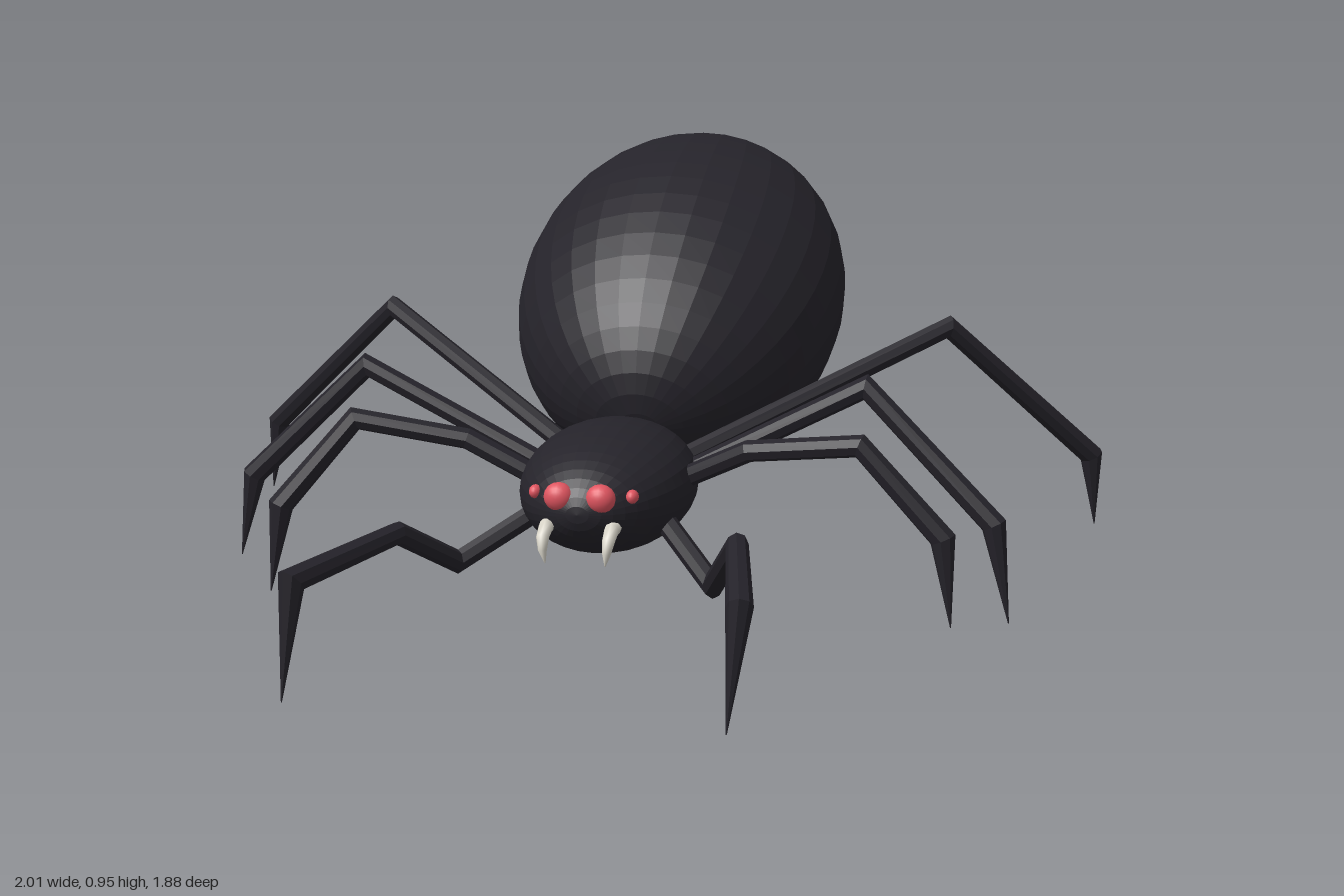
import * as THREE from 'three';

const mat = (color, flatShading = false) =>
  new THREE.MeshStandardMaterial({ color, flatShading });
const SHELL = mat(0x25232a, true);
const EYE = mat(0xe05560);
const FANG = mat(0xdcd8cc);

const MID = 0.022; // the body sits slightly off the centre line

function ellipsoid(name, material, position, radii, tilt = 0, segments = 32) {
  const geo = new THREE.SphereGeometry(1, segments, Math.round(segments * 0.75));
  geo.rotateX(Math.PI / 2); // poles on the long axis
  geo.scale(...radii);
  const mesh = new THREE.Mesh(geo, material);
  mesh.name = name;
  mesh.position.set(...position);
  mesh.rotation.x = tilt;
  return mesh;
}

// Tapered limb along a bent path, with mitred rings at the bends
function limb(name, material, path, radii, sides = 8) {
  const pts = path.map(p => new THREE.Vector3(...p));
  const dirs = pts.slice(1).map((p, i) => p.clone().sub(pts[i]).normalize());
  const d0 = dirs[0];
  const ref = Math.abs(d0.y) < 0.9 ? new THREE.Vector3(0, 1, 0) : new THREE.Vector3(1, 0, 0);
  const u = ref.cross(d0).normalize();
  const v = d0.clone().cross(u);
  let ring = [];
  for (let j = 0; j < sides; j++) {
    const a = (j / sides) * Math.PI * 2;
    ring.push(u.clone().multiplyScalar(Math.cos(a)).addScaledVector(v, Math.sin(a)));
  }
  const pos = [];
  const index = [];
  pts.forEach((p, i) => {
    if (i > 0 && i < dirs.length) {
      // slide the ring along the incoming segment onto the bisecting plane
      const n = dirs[i - 1].clone().add(dirs[i]).normalize();
      const k = n.dot(dirs[i - 1]);
      ring = ring.map(o => o.clone().addScaledVector(dirs[i - 1], -o.dot(n) / k));
    }
    ring.forEach(o => pos.push(...p.clone().addScaledVector(o, radii[i]).toArray()));
    if (i === 0) return;
    for (let j = 0; j < sides; j++) {
      const a = (i - 1) * sides + j;
      const b = (i - 1) * sides + ((j + 1) % sides);
      index.push(a, b, b + sides, a, b + sides, a + sides);
    }
  });
  const geo = new THREE.BufferGeometry();
  geo.setAttribute('position', new THREE.Float32BufferAttribute(pos, 3));
  geo.setIndex(index);
  geo.computeVertexNormals();
  const mesh = new THREE.Mesh(geo, material);
  mesh.name = name;
  return mesh;
}

// Each leg: hip, joints, ankle, claw tip
const LEGS = {
  leftRearLeg: [[0.11, 0.3, 0.15], [0.67, 0.565, -0.185], [0.985, 0.245, -0.405], [0.998, 0.08, -0.42]],
  rightRearLeg: [[-0.07, 0.3, 0.14], [-0.615, 0.565, -0.19], [-0.975, 0.245, -0.34], [-1, 0.075, -0.35]],
  leftThirdLeg: [[0.12, 0.28, 0.215], [0.54, 0.505, 0.24], [0.805, 0.245, 0.28], [0.84, 0.045, 0.285]],
  rightThirdLeg: [[-0.08, 0.28, 0.225], [-0.525, 0.505, 0.235], [-0.795, 0.25, 0.227], [-0.827, 0.07, 0.235]],
  leftSecondLeg: [[0.12, 0.28, 0.27], [0.32, 0.385, 0.345], [0.55, 0.42, 0.405], [0.715, 0.245, 0.412], [0.735, 0.07, 0.42]],
  rightSecondLeg: [[-0.08, 0.28, 0.32], [-0.27, 0.38, 0.34], [-0.5, 0.42, 0.38], [-0.64, 0.245, 0.45], [-0.66, 0.065, 0.468]],
  leftFrontLeg: [[0.13, 0.27, 0.37], [0.27, 0.135, 0.455], [0.345, 0.262, 0.605], [0.405, 0.235, 0.91], [0.388, 0.01, 0.935]],
  rightFrontLeg: [[-0.09, 0.26, 0.39], [-0.245, 0.16, 0.49], [-0.323, 0.25, 0.625], [-0.432, 0.225, 0.9], [-0.446, 0, 0.93]],
};

export function createModel() {
  const spider = new THREE.Group();
  spider.name = 'spider';

  // Body
  spider.add(ellipsoid('abdomen', SHELL, [MID, 0.575, -0.44], [0.382, 0.33, 0.531], 0.443));
  spider.add(ellipsoid('head', SHELL, [MID, 0.29, 0.29], [0.178, 0.13, 0.275]));

  // Legs
  for (const [name, path] of Object.entries(LEGS)) {
    const radii = path.map(() => 0.022);
    radii[path.length - 2] = 0.025;
    radii[path.length - 1] = 0.001;
    spider.add(limb(name, SHELL, path, radii));
  }

  // Eyes and fangs, mirrored about the body's middle
  for (const [side, s] of [['left', 1], ['right', -1]]) {
    spider.add(ellipsoid(side + 'LargeEye', EYE, [MID + s * 0.042, 0.32, 0.542], [0.03, 0.029, 0.025], 0, 16));
    spider.add(ellipsoid(side + 'SmallEye', EYE, [MID + s * 0.098, 0.32, 0.51], [0.013, 0.014, 0.017], 0, 12));
    const x = MID + s * 0.066;
    spider.add(limb(side + 'Fang', FANG, [
      [x, 0.262, 0.5], [x, 0.26, 0.55], [x, 0.245, 0.575],
      [x - s * 0.002, 0.222, 0.584], [x - s * 0.006, 0.195, 0.58],
    ], [0.015, 0.015, 0.013, 0.009, 0.001]));
  }
  return spider;
}
